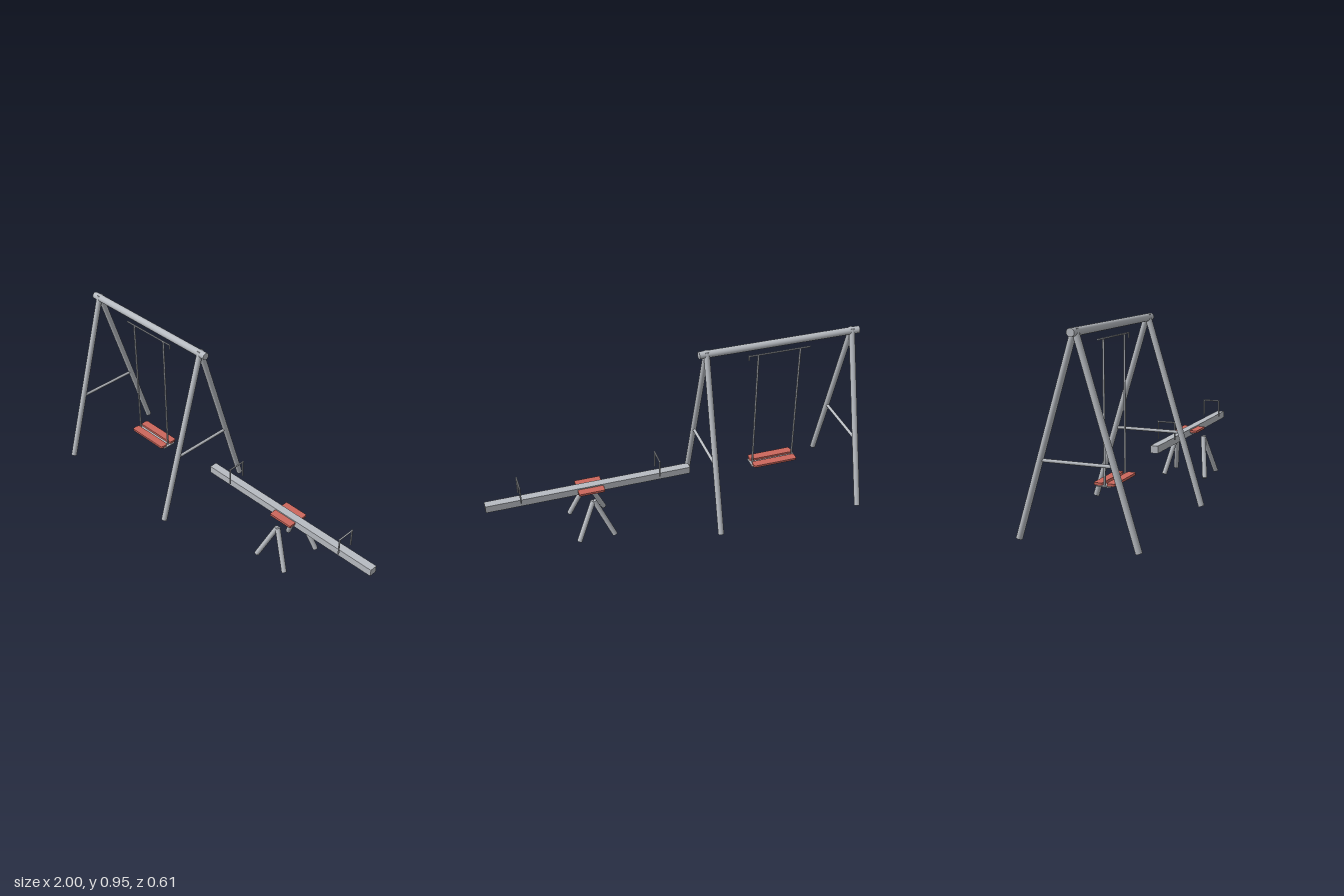
import * as THREE from 'three';

export function createModel() {
  const model = new THREE.Group();
  const steel = new THREE.MeshStandardMaterial({ color: 0xb8bcc2 });
  steel.name = 'grey steel';
  const red = new THREE.MeshStandardMaterial({ color: 0xcc675c });
  red.name = 'red paint';

  const add = (parent, name, geometry, material) => {
    const mesh = new THREE.Mesh(geometry, material);
    mesh.name = name;
    parent.add(mesh);
    return mesh;
  };
  const group = (name) => {
    const g = new THREE.Group();
    g.name = name;
    model.add(g);
    return g;
  };
  // Round bar between two points
  const bar = (parent, name, a, b, radius, sides = 20) => {
    const start = new THREE.Vector3(...a);
    const dir = new THREE.Vector3(...b).sub(start);
    const mesh = add(parent, name, new THREE.CylinderGeometry(radius, radius, dir.length(), sides), steel);
    mesh.position.copy(start).addScaledVector(dir, 0.5);
    mesh.quaternion.setFromUnitVectors(new THREE.Vector3(0, 1, 0), dir.normalize());
    return mesh;
  };
  // Box given by its limits
  const box = (parent, name, x0, x1, y0, y1, z0, z1, material) => {
    const mesh = add(parent, name, new THREE.BoxGeometry(x1 - x0, y1 - y0, z1 - z0), material);
    mesh.position.set((x0 + x1) / 2, (y0 + y1) / 2, (z0 + z1) / 2);
    return mesh;
  };
  // Horizontal plank with rounded corners
  const plank = (parent, name, x, y, z, length, width, height, r) => {
    const a = length / 2, b = width / 2;
    const s = new THREE.Shape();
    s.moveTo(-a + r, -b);
    s.lineTo(a - r, -b);
    s.absarc(a - r, -b + r, r, -Math.PI / 2, 0);
    s.absarc(a - r, b - r, r, 0, Math.PI / 2);
    s.absarc(-a + r, b - r, r, Math.PI / 2, Math.PI);
    s.absarc(-a + r, -b + r, r, Math.PI, Math.PI * 1.5);
    const geometry = new THREE.ExtrudeGeometry(s, { depth: height, bevelEnabled: false, curveSegments: 5 });
    geometry.rotateX(-Math.PI / 2);
    add(parent, name, geometry, red).position.set(x, y, z);
  };

  // Swing frame: top beam and two A-shaped ends
  const frame = group('swingFrame');
  bar(frame, 'topBeam', [-1, 0.935, 0], [-0.13, 0.935, 0], 0.019, 28);
  for (const x of [-0.96, -0.17]) {
    for (const s of [-1, 1]) {
      bar(frame, 'frameLeg', [x, 0.005, s * 0.289], [x, 0.947, s * 0.001], 0.0155, 24);
    }
    bar(frame, 'crossBar', [x, 0.371, -0.17], [x, 0.371, 0.17], 0.008);
  }

  // Hanging swing
  const swing = group('swing');
  bar(swing, 'hangerBar', [-0.735, 0.88, 0], [-0.4, 0.88, 0], 0.004, 12);
  bar(swing, 'hangerHook', [-0.4, 0.884, 0], [-0.4, 0.856, 0], 0.004, 12);
  for (const x of [-0.68, -0.45]) {
    bar(swing, 'hangerRod', [x, 0.205, 0], [x, 0.88, 0], 0.005, 12);
  }
  for (const s of [-1, 1]) {
    plank(swing, 'seatPlank', -0.565, 0.206, s * 0.032, 0.246, 0.044, 0.012, 0.012);
  }
  box(swing, 'seatPlate', -0.695, -0.435, 0.201, 0.206, -0.036, 0.036, steel);

  // Seesaw beam, side seats and handles
  const seesaw = group('seesaw');
  box(seesaw, 'seesawBeam', -0.085, 1, 0.231, 0.27, -0.021, 0.021, steel);
  for (const s of [-1, 1]) {
    plank(seesaw, 'sidePlank', 0.457, 0.251, s * 0.041, 0.136, 0.042, 0.012, 0.004);
  }
  box(seesaw, 'sidePlate', 0.4, 0.514, 0.245, 0.251, -0.033, 0.033, steel);
  for (const x of [0.09, 0.822]) {
    for (const s of [-1, 1]) {
      bar(seesaw, 'handlePost', [x, 0.27, s * 0.046], [x, 0.366, s * 0.046], 0.004, 12);
    }
    bar(seesaw, 'handleGrip', [x, 0.363, -0.05], [x, 0.363, 0.05], 0.004, 12);
  }

  // Splayed seesaw legs, one pair on each side
  for (const z of [-1, 1]) {
    for (const x of [-1, 1]) {
      bar(seesaw, 'seesawLeg', [0.457 + x * 0.095, 0.007, z * 0.121], [0.457 + x * 0.002, 0.221, z * 0.078], 0.0135, 20);
    }
  }
  return model;
}
